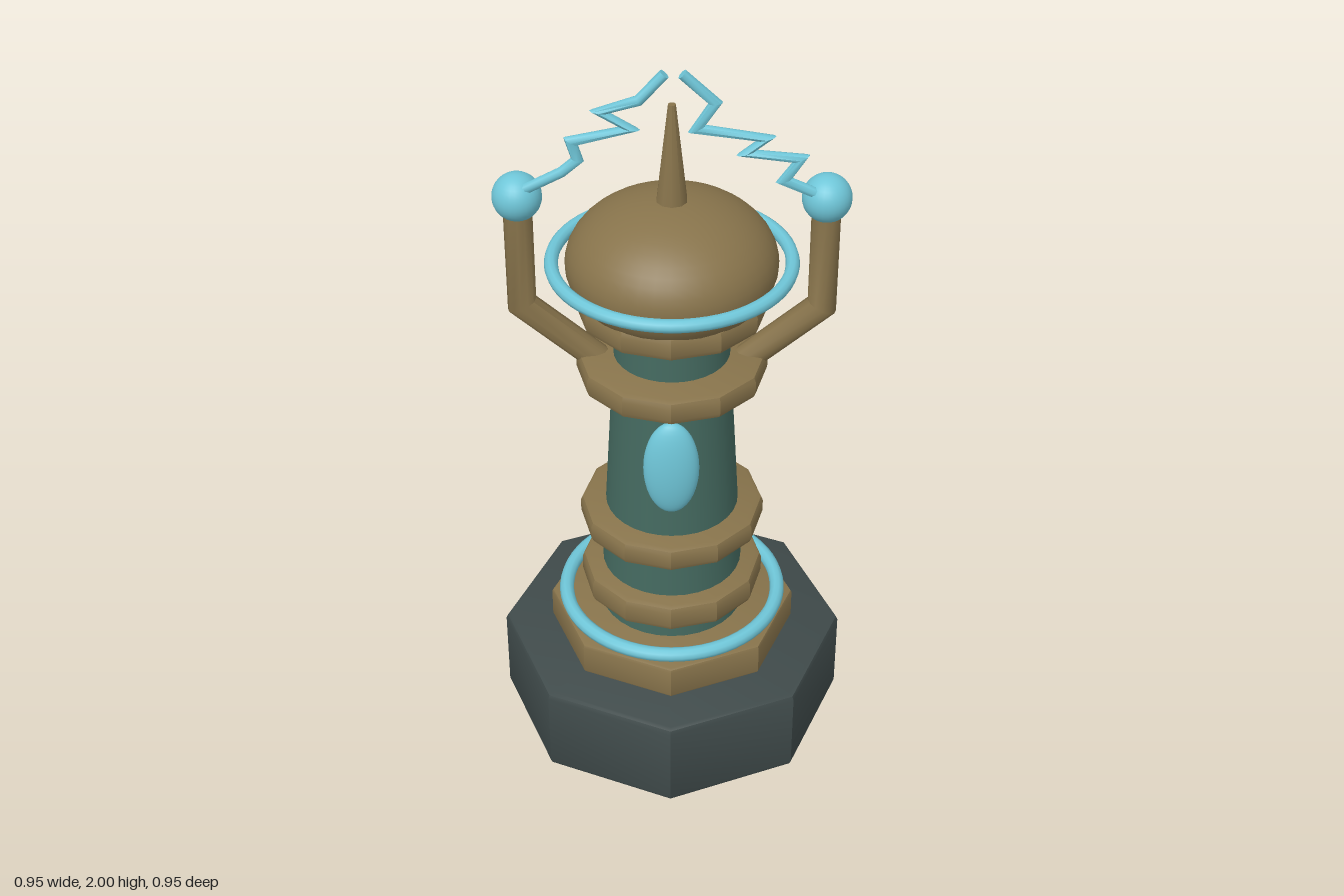
import * as THREE from 'three';
import { toCreasedNormals } from 'three/addons/utils/BufferGeometryUtils.js';

// Prism with bevelled top and bottom rims
function bevelledPrism(radius, y0, y1, sides, bevel) {
  const b = bevel * 0.3;
  const profile = [
    [0, y0], [radius - bevel, y0], [radius - b, y0 + b], [radius, y0 + bevel],
    [radius, y1 - bevel], [radius - b, y1 - b], [radius - bevel, y1], [0, y1],
  ].map(([r, y]) => new THREE.Vector2(r, y));
  return toCreasedNormals(new THREE.LatheGeometry(profile, sides), 0.45);
}

// Round rod along a polyline in the xy plane, with mitred corners and end caps
function mitredRod(path, radius, sides, z = 0) {
  const pts = path.map(([x, y]) => new THREE.Vector2(x, y));
  const across = pts.slice(1).map((p, i) => {
    const d = p.clone().sub(pts[i]).normalize();
    return new THREE.Vector2(-d.y, d.x);
  });
  const position = [], index = [], last = pts.length - 1;
  pts.forEach((p, i) => {
    const before = across[Math.max(i - 1, 0)], after = across[Math.min(i, last - 1)];
    const m = before.clone().add(after).normalize();
    m.multiplyScalar(Math.min(1 / Math.max(m.dot(before), 0.1), 1.7));
    for (let j = 0; j < sides; j++) {
      const a = (j / sides) * Math.PI * 2, c = Math.cos(a) * radius;
      position.push(p.x + m.x * c, p.y + m.y * c, z + Math.sin(a) * radius);
    }
  });
  for (let i = 0; i < last; i++) {
    for (let j = 0; j < sides; j++) {
      const k = (j + 1) % sides, a = i * sides + j, b = i * sides + k;
      index.push(a, b, b + sides, a, b + sides, a + sides);
    }
  }
  const end = last * sides;
  for (let j = 1; j < sides - 1; j++) {
    index.push(0, j + 1, j, end, end + j, end + j + 1);
  }
  const g = new THREE.BufferGeometry();
  g.setAttribute('position', new THREE.Float32BufferAttribute(position, 3));
  g.setIndex(index);
  return toCreasedNormals(g, 0.85);
}

export function createModel() {
  const model = new THREE.Group();
  model.name = 'energyTower';
  const material = (name, color) => {
    const m = new THREE.MeshStandardMaterial({ color });
    m.name = name;
    return m;
  };
  const stone = material('dark stone', 0x3f4a4a);
  const bronze = material('bronze', 0x87734b);
  const green = material('green metal', 0x44695f);
  const glow = material('light blue', 0x6fc6d8);

  const add = (name, geometry, mat, x = 0, y = 0, z = 0) => {
    const mesh = new THREE.Mesh(geometry, mat);
    mesh.name = name;
    mesh.position.set(x, y, z);
    model.add(mesh);
    return mesh;
  };

  // Octagonal base and plinth
  add('base', bevelledPrism(0.475, 0, 0.265, 8, 0.016), stone);
  add('plinth', bevelledPrism(0.34, 0.26, 0.36, 8, 0.01), bronze);

  // Tapered shaft with collars
  add('shaft', new THREE.CylinderGeometry(0.145, 0.2, 0.96, 32), green, 0, 0.84);
  const collars = [[0.42, 0.5], [0.63, 0.7], [1.11, 1.18], [1.305, 1.375]];
  collars.forEach(([y0, y1], i) =>
    add(`collar${i + 1}`, bevelledPrism(0.25, y0, y1, 12, 0.018), bronze));

  // Glowing rings
  for (const [name, radius, y, tube] of [
    ['lowerRing', 0.297, 0.38, 0.02], ['upperRing', 0.306, 1.452, 0.018]]) {
    add(name, new THREE.TorusGeometry(radius, tube, 10, 64).rotateX(Math.PI / 2), glow, 0, y);
  }

  // Dome and spire
  add('dome', new THREE.SphereGeometry(1, 40, 24).scale(0.272, 0.178, 0.272), bronze, 0, 1.45);
  add('spire', toCreasedNormals(new THREE.CylinderGeometry(0.01, 0.043, 0.29, 10), 0.7),
    bronze, 0, 1.745);

  // Oval gem on the front
  add('gem', new THREE.SphereGeometry(1, 32, 20).scale(0.073, 0.143, 0.038), glow, 0, 0.94, 0.195);

  // Bent arms with orbs
  for (const [side, s] of [['left', 1], ['right', -1]]) {
    const path = [[0.165, 1.13], [0.385, 1.32], [0.385, 1.62]].map(([x, y]) => [x * s, y]);
    add(`${side}Arm`, mitredRod(path, 0.037, 12), bronze);
    add(`${side}Orb`, new THREE.SphereGeometry(0.063, 28, 18), glow, 0.385 * s, 1.635);
  }

  // Zigzag sparks rising from the orbs
  add('leftSpark', mitredRod([
    [0.025, 1.985], [0.105, 1.91], [0.06, 1.84], [0.23, 1.815],
    [0.18, 1.775], [0.315, 1.76], [0.275, 1.7], [0.365, 1.66],
  ], 0.014, 8, 0.03), glow);
  add('rightSpark', mitredRod([
    [-0.018, 1.985], [-0.08, 1.915], [-0.175, 1.885], [-0.1, 1.84],
    [-0.245, 1.805], [-0.23, 1.755], [-0.27, 1.72], [-0.365, 1.67],
  ], 0.014, 8, 0.03), glow);

  return model;
}
